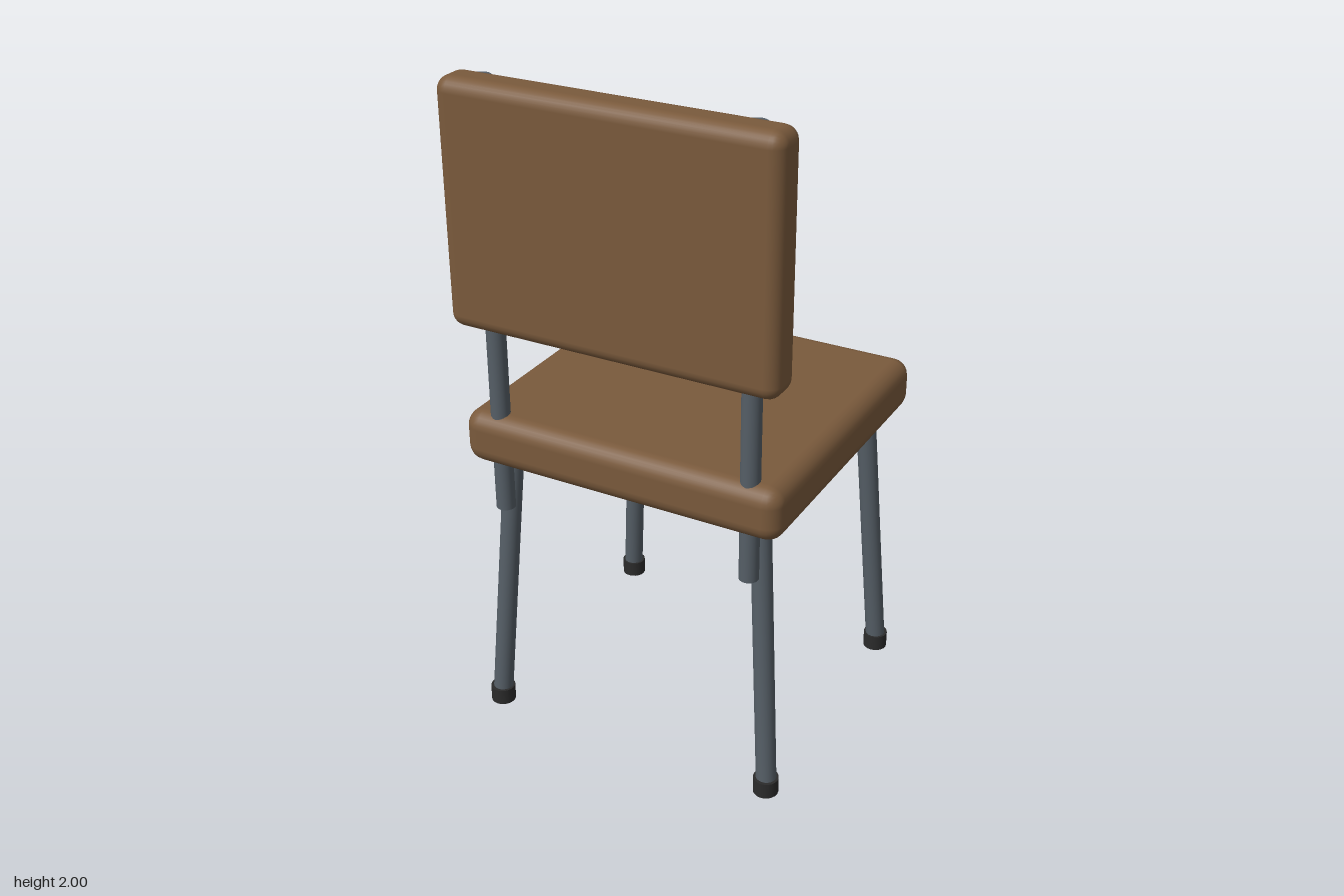
import * as THREE from 'three';
import { RoundedBoxGeometry } from 'three/addons/geometries/RoundedBoxGeometry.js';

const wood = new THREE.MeshStandardMaterial({ color: 0x7a5a3c });
const metal = new THREE.MeshStandardMaterial({ color: 0x555e66 });
const rubber = new THREE.MeshStandardMaterial({ color: 0x2b2b2b });

export function createModel() {
  const chair = new THREE.Group();
  chair.name = 'chair';

  const add = (name, geometry, material, x, y, z) => {
    const mesh = new THREE.Mesh(geometry, material);
    mesh.name = name;
    mesh.position.set(x, y, z);
    chair.add(mesh);
    return mesh;
  };

  // Round bar between two points
  const bar = (name, from, to, radius, material) => {
    const dir = to.clone().sub(from);
    const mid = from.clone().add(to).multiplyScalar(0.5);
    const mesh = add(name, new THREE.CylinderGeometry(radius, radius, dir.length(), 20), material, mid.x, mid.y, mid.z);
    mesh.quaternion.setFromUnitVectors(new THREE.Vector3(0, 1, 0), dir.normalize());
    return mesh;
  };
  const v = (x, y, z) => new THREE.Vector3(x, y, z);

  // Padded boards
  add('seat', new RoundedBoxGeometry(0.99, 0.16, 0.93, 3, 0.05), wood, 0, 0.945, -0.014);
  add('backrest', new RoundedBoxGeometry(0.99, 0.7, 0.12, 3, 0.04), wood, 0, 1.65, 0.419);

  for (const side of [1, -1]) {
    const name = side > 0 ? 'left' : 'right';

    // Upright passing through the seat and up the backrest
    bar(name + 'Post', v(0.392 * side, 0.72, 0.403), v(0.392 * side, 1.998, 0.403), 0.028, metal);

    // Screw head on the seat-facing side of the backrest
    bar(name + 'Screw', v(0.392 * side, 1.655, 0.362), v(0.392 * side, 1.655, 0.344), 0.008, metal);

    // Splayed legs with rubber feet
    for (const [end, footZ, topZ] of [['Backrest', 0.391, 0.342], ['Open', -0.416, -0.367]]) {
      bar(name + end + 'Leg', v(0.455 * side, 0.01, footZ), v(0.394 * side, 0.9, topZ), 0.03, metal);
      add(name + end + 'Foot', new THREE.CylinderGeometry(0.037, 0.037, 0.05, 20), rubber, 0.453 * side, 0.025, footZ);
    }
  }
  return chair;
}
